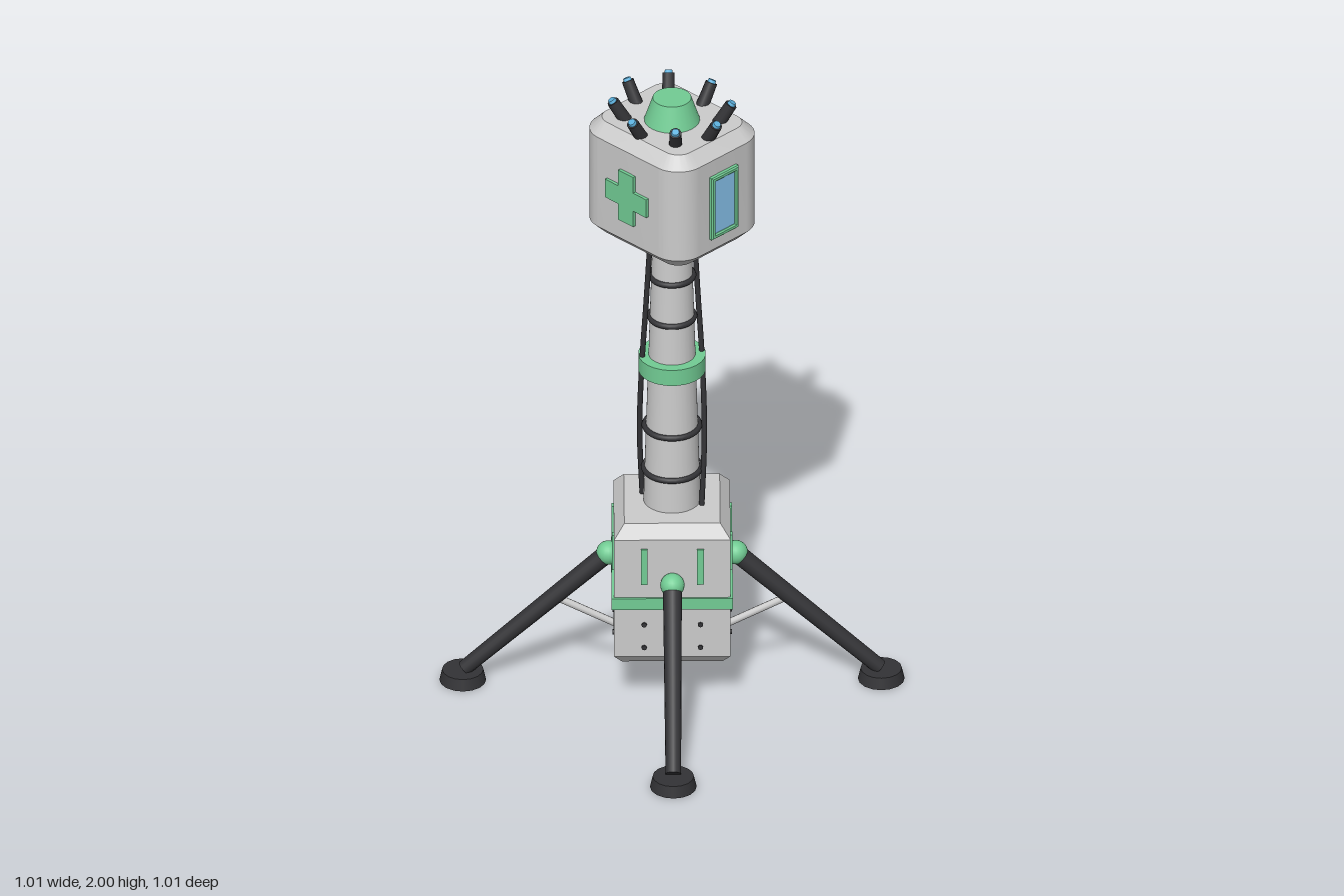
import * as THREE from 'three';
import { toCreasedNormals } from 'three/addons/utils/BufferGeometryUtils.js';

const V = (x, y, z) => new THREE.Vector3(x, y, z);
const mat = (color, flatShading = false) => new THREE.MeshStandardMaterial({ color, flatShading });
const grey = mat(0xcccccc), greyFlat = mat(0xcccccc, true);
const green = mat(0x72cc94), greenFlat = mat(0x72cc94, true);
const dark = mat(0x333336), glassBlue = mat(0x88c4ee), lampBlue = mat(0x5cb0dc);

function add(parent, name, geometry, material, x = 0, y = 0, z = 0) {
  const mesh = new THREE.Mesh(geometry, material);
  mesh.name = name;
  mesh.position.set(x, y, z);
  parent.add(mesh);
  return mesh;
}

// Round bar between two points, r0 at the start and r1 at the end
function bar(parent, name, a, b, r0, r1, material, sides = 16) {
  const d = b.clone().sub(a);
  const mesh = add(parent, name, new THREE.CylinderGeometry(r1, r0, d.length(), sides), material);
  mesh.position.copy(a).addScaledVector(d, 0.5);
  mesh.quaternion.setFromUnitVectors(V(0, 1, 0), d.normalize());
  return mesh;
}

function drum(parent, name, rTop, rBottom, y0, y1, material) {
  return add(parent, name, new THREE.CylinderGeometry(rTop, rBottom, y1 - y0, 28), material, 0, (y0 + y1) / 2, 0);
}

// Four-sided solid with its corners on the x and z axes
function diamond(parent, name, profile, material) {
  const points = profile.map(([r, y]) => new THREE.Vector2(r, y));
  return add(parent, name, new THREE.LatheGeometry(points, 4), material);
}

function roundedRect(w, h, r) {
  const s = new THREE.Shape();
  s.absarc(w - r, h - r, r, 0, Math.PI / 2);
  s.absarc(r - w, h - r, r, Math.PI / 2, Math.PI);
  s.absarc(r - w, r - h, r, Math.PI, Math.PI * 1.5);
  s.absarc(w - r, r - h, r, Math.PI * 1.5, Math.PI * 2);
  s.closePath();
  return s;
}

function rect(w, h, Type = THREE.Shape) {
  return new Type([[-w, -h], [w, -h], [w, h], [-w, h]].map(([x, y]) => new THREE.Vector2(x, y)));
}

function buildBase() {
  const base = new THREE.Group();
  base.name = 'base';
  diamond(base, 'baseBody', [[0, 0.15], [0.21, 0.15], [0.243, 0.18], [0.243, 0.58], [0.2, 0.62], [0, 0.62]], greyFlat);
  diamond(base, 'baseBand', [[0.23, 0.345], [0.253, 0.345], [0.253, 0.383], [0.23, 0.383]], greenFlat);

  // Each face carries two slots, four bolts, a leg and its strut
  for (let i = 0; i < 4; i++) {
    const side = new THREE.Group();
    side.name = 'baseSide';
    side.rotation.y = Math.PI / 4 + i * Math.PI / 2;
    base.add(side);
    const face = 0.172;
    for (const x of [-0.083, 0.083]) {
      add(side, 'slot', new THREE.BoxGeometry(0.02, 0.12, 0.012), green, x, 0.49, face);
      for (const y of [0.212, 0.29]) {
        const bolt = add(side, 'bolt', new THREE.CylinderGeometry(0.008, 0.008, 0.008, 8), dark, x, y, face);
        bolt.rotation.x = Math.PI / 2;
      }
    }
    const hip = V(0, 0.435, 0.188), ankle = V(0, 0.04, 0.612);
    add(side, 'hipJoint', new THREE.SphereGeometry(0.036, 20, 14), green).position.copy(hip);
    bar(side, 'leg', hip, ankle, 0.028, 0.023, dark);
    bar(side, 'strut', V(0, 0.192, 0.165), V(0, 0.285, 0.345), 0.011, 0.011, grey, 10);
    add(side, 'foot', new THREE.CylinderGeometry(0.061, 0.069, 0.036, 16), dark, 0, 0.018, 0.617);
  }
  return base;
}

function buildColumn() {
  const column = new THREE.Group();
  column.name = 'column';
  drum(column, 'columnTube', 0.058, 0.085, 0.61, 1.51, grey);
  drum(column, 'middleCollar', 0.1, 0.1, 1.067, 1.12, green);
  drum(column, 'neckCollar', 0.076, 0.076, 1.5, 1.55, green);
  for (const [y, r] of [[0.73, 0.083], [0.875, 0.081], [1.25, 0.066], [1.39, 0.063]]) {
    add(column, 'clamp', new THREE.TorusGeometry(r, 0.009, 8, 28), dark, 0, y, 0).rotation.x = Math.PI / 2;
  }
  // Two cables on opposite sides, winding slightly around the tube
  const path = new THREE.CatmullRomCurve3([
    V(-0.02, 1.51, 0.073), V(-0.036, 1.3, 0.073), V(-0.053, 1.09, 0.073), V(-0.075, 0.85, 0.06), V(-0.087, 0.6, 0.036),
  ]);
  for (const turn of [0, Math.PI]) {
    add(column, 'cable', new THREE.TubeGeometry(path, 24, 0.008, 8), dark).rotation.y = turn;
  }
  return column;
}

function buildHead() {
  const head = new THREE.Group();
  head.name = 'head';
  const bevel = 0.037;
  const shell = new THREE.ExtrudeGeometry(roundedRect(0.21 - bevel, 0.185 - bevel, 0.05), {
    depth: 0.38 - 2 * bevel, bevelThickness: bevel, bevelSize: bevel, bevelSegments: 1, curveSegments: 8,
  });
  shell.rotateX(-Math.PI / 2);
  add(head, 'headShell', toCreasedNormals(shell, 0.5), grey, 0, 1.545 + bevel, 0);

  // Crosses on front and back, windows on both sides
  const a = 0.031, b = 0.085;
  const cross = new THREE.Shape([
    [-a, -b], [a, -b], [a, -a], [b, -a], [b, a], [a, a], [a, b], [-a, b], [-a, a], [-b, a], [-b, -a], [-a, -a],
  ].map(([x, y]) => new THREE.Vector2(x, y)));
  const crossGeo = new THREE.ExtrudeGeometry(cross, { depth: 0.02, bevelEnabled: false });
  const frame = rect(0.052, 0.102);
  frame.holes.push(rect(0.045, 0.094, THREE.Path));
  const frameGeo = new THREE.ExtrudeGeometry(frame, {
    depth: 0.02, bevelThickness: 0.004, bevelSize: 0.004, bevelSegments: 1,
  });
  for (const s of [0, 1]) {
    const facing = new THREE.Group();
    facing.name = 'headPanels';
    facing.rotation.y = s * Math.PI;
    head.add(facing);
    add(facing, 'cross', crossGeo, green, 0, 1.735, 0.175);
    const windowGroup = new THREE.Group();
    windowGroup.name = 'window';
    windowGroup.rotation.y = Math.PI / 2;
    facing.add(windowGroup);
    add(windowGroup, 'windowFrame', frameGeo, green, 0, 1.73, 0.2);
    add(windowGroup, 'windowGlass', new THREE.BoxGeometry(0.092, 0.19, 0.02), glassBlue, 0, 1.73, 0.208);
  }

  // Cap with a ring of outward-leaning lamps
  drum(head, 'cap', 0.057, 0.084, 1.92, 2, green);
  for (let i = 0; i < 8; i++) {
    const s = Math.sin(i * Math.PI / 4), c = Math.cos(i * Math.PI / 4);
    const foot = V(0.143 * s, 1.91, 0.123 * c), tip = V(0.188 * s, 1.988, 0.17 * c);
    const rim = foot.clone().lerp(tip, 0.9);
    bar(head, 'lampBody', foot, rim, 0.02, 0.018, dark, 12);
    bar(head, 'lampTip', rim, tip, 0.013, 0.011, lampBlue, 12);
  }
  return head;
}

export function createModel() {
  const model = new THREE.Group();
  model.name = 'medicalStation';
  model.add(buildBase(), buildColumn(), buildHead());
  return model;
}
